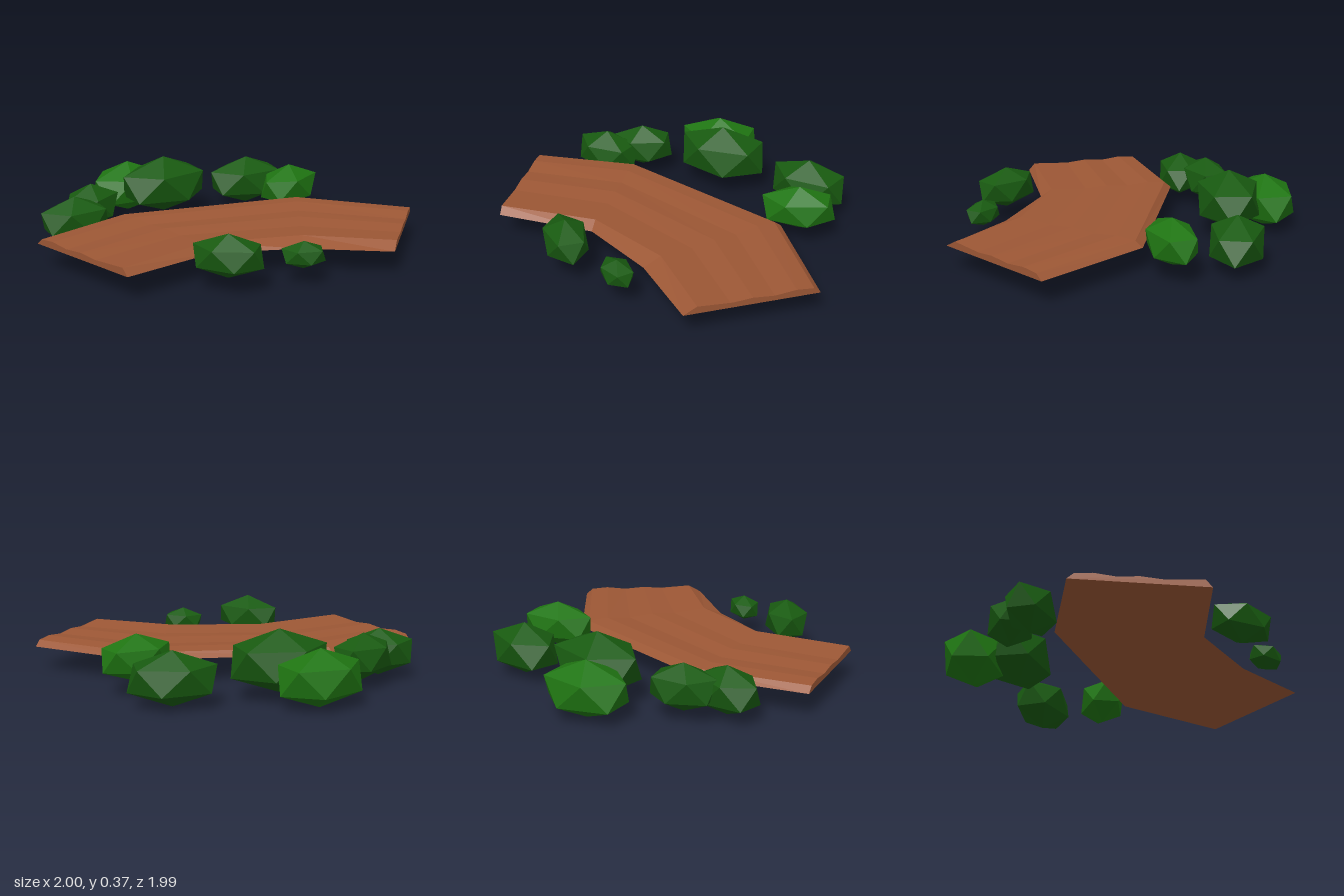
import * as THREE from 'three';

// Curved slab of path, lofted through four cross-sections
function makePath() {
  const floor = 0.147;
  // outer edge x,z / inner edge x,z / where the inner bevel starts
  const sections = [
    [-0.88, 0.63, -0.245, 0.99, 0.95],
    [-0.6, 0.1, 0.08, 0.53, 0.92],
    [0.31, -0.5, 0.52, 0.35, 0.88],
    [1, -0.46, 1, 0.275, 0.9],
  ];
  const position = [];
  const rings = sections.map(([ox, oz, ix, iz, bevel]) => {
    // raised rims, two shallow ruts and a crown
    const profile = [
      [0, floor], [0.05, 0.18], [0.18, 0.188], [0.34, 0.175],
      [0.5, 0.185], [0.66, 0.175], [bevel, 0.188], [1, floor],
    ];
    return profile.map(([t, y]) => [ox + (ix - ox) * t, y, oz + (iz - oz) * t]);
  });
  const tri = (a, b, c) => position.push(...a, ...b, ...c);
  const n = rings[0].length;
  for (let k = 0; k < rings.length - 1; k++) {
    for (let j = 0; j < n; j++) {
      const a = rings[k][j], b = rings[k][(j + 1) % n];
      const c = rings[k + 1][(j + 1) % n], d = rings[k + 1][j];
      tri(a, b, c);
      tri(a, c, d);
    }
  }
  // end caps
  const first = rings[0], last = rings[rings.length - 1];
  for (let j = 1; j < n - 1; j++) {
    tri(first[0], first[j + 1], first[j]);
    tri(last[0], last[j], last[j + 1]);
  }
  const geometry = new THREE.BufferGeometry();
  geometry.setAttribute('position', new THREE.Float32BufferAttribute(position, 3));
  geometry.computeVertexNormals();
  const mesh = new THREE.Mesh(geometry, new THREE.MeshStandardMaterial({ color: 0x9c5735, flatShading: true }));
  mesh.name = 'path';
  return mesh;
}

export function createModel() {
  const model = new THREE.Group();
  model.name = 'curvedPathWithBushes';
  model.add(makePath());

  // Bushes: squashed icosahedra standing on a vertex
  const bushGeometry = new THREE.IcosahedronGeometry(1, 0);
  bushGeometry.rotateZ(Math.atan(2 / (1 + Math.sqrt(5))));
  const dark = new THREE.MeshStandardMaterial({ color: 0x185a10, flatShading: true });
  const light = new THREE.MeshStandardMaterial({ color: 0x1f7512, flatShading: true });
  const ringScale = 1 / 0.9; // widest ring of the solid lies inside its radius

  // x, z, bottom, top, half length, half width, turn in degrees, material
  const bushes = [
    [-0.08, -0.82, 0.015, 0.31, 0.235, 0.15, 36, dark],
    [0.235, -0.635, 0.07, 0.33, 0.21, 0.13, 62, light],
    [-0.755, -0.49, 0.01, 0.32, 0.24, 0.17, 55, light],
    [-0.5, -0.425, 0.045, 0.385, 0.27, 0.18, 45, dark],
    [-0.81, 0.0, 0.05, 0.31, 0.185, 0.125, 65, dark],
    [-0.825, 0.22, 0.03, 0.295, 0.2, 0.13, 40, dark],
    [0.2, 0.7, 0.08, 0.32, 0.19, 0.12, 0, dark],
    [0.553, 0.502, 0.095, 0.245, 0.117, 0.08, 15, dark],
  ];
  bushes.forEach(([x, z, bottom, top, length, width, turn, material], i) => {
    const bush = new THREE.Mesh(bushGeometry, material);
    bush.name = `bush${i + 1}`;
    bush.position.set(x, (bottom + top) / 2, z);
    bush.scale.set(length * ringScale, (top - bottom) / 2, width * ringScale);
    bush.rotation.y = THREE.MathUtils.degToRad(turn);
    model.add(bush);
  });
  return model;
}
